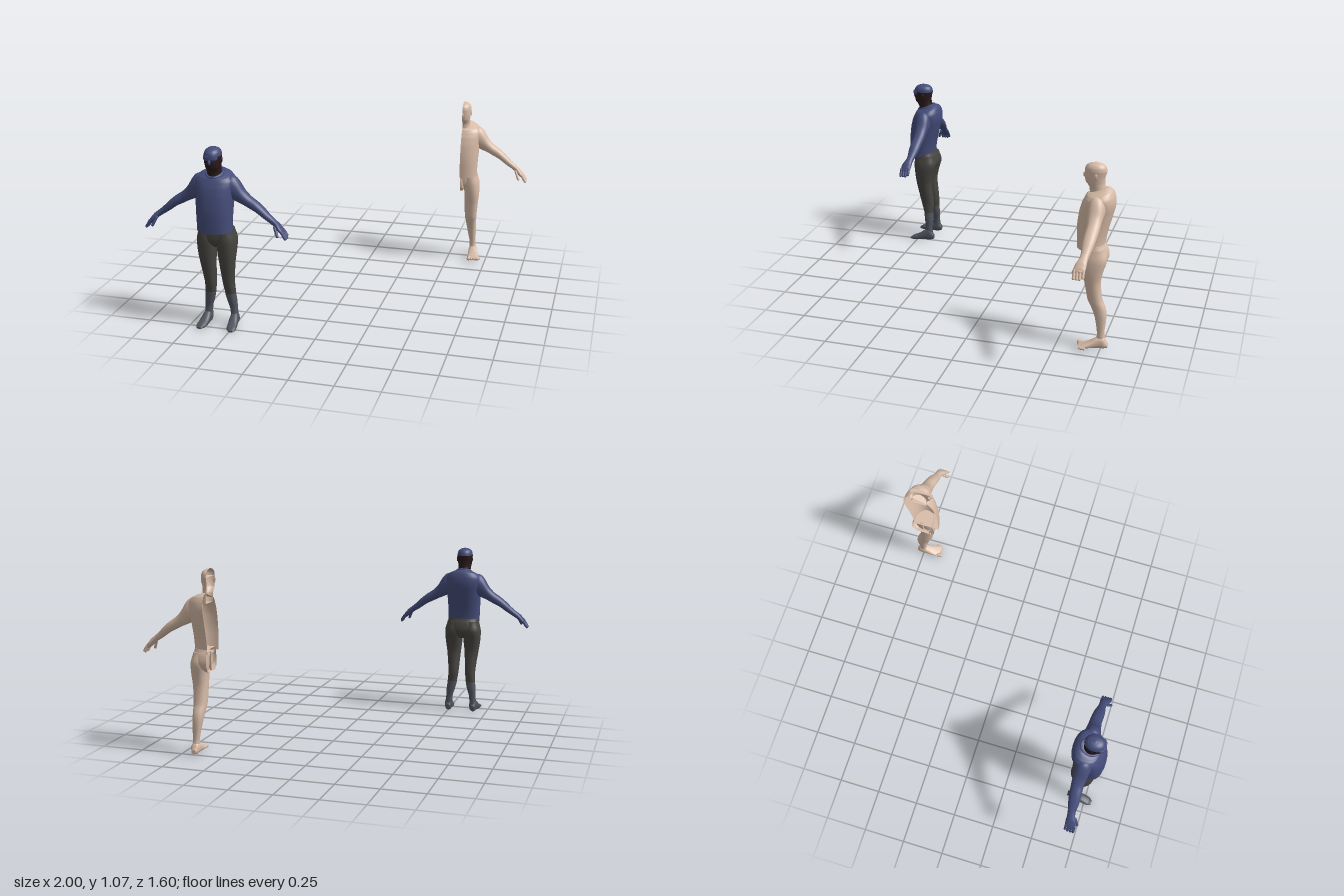
import * as THREE from 'three';

const COLORS = { shirt: 0x454d7a, trousers: 0x474541, boots: 0x50545e, mask: 0x2a1a1b, skin: 0xd8bca8 };
const MATS = {};
for (const k in COLORS) MATS[k] = new THREE.MeshStandardMaterial({ color: COLORS[k], roughness: 0.85, side: THREE.DoubleSide });

// Catmull-Rom interpolation between cross-section rows
function smoothRows(rows, n) {
  const out = [], at = i => rows[Math.min(rows.length - 1, Math.max(0, i))];
  for (let i = 0; i < rows.length - 1; i++) {
    for (let s = 0; s < n; s++) {
      const f = s / n, [a, b, c, d] = [at(i - 1), at(i), at(i + 1), at(i + 2)];
      out.push(b.map((q, k) => k === 0 ? q + (c[0] - q) * f : 0.5 * (2 * q + (c[k] - a[k]) * f
        + (2 * a[k] - 5 * q + 4 * c[k] - d[k]) * f * f + (3 * q - a[k] - 3 * c[k] + d[k]) * f * f * f)));
    }
  }
  out.push(rows[rows.length - 1]);
  return out;
}

// Skin over rows [t, u0, u1, v0, v1, tilt]; axes names t, u, v; half keeps only the +u side
function loft(rows, { axes = 'yxz', half = false, pow = 0.85, steps = 4 } = {}) {
  const N = 28, rings = smoothRows(rows.map(r => [...r, 0].slice(0, 6)), steps);
  const first = rings[0], last = rings[rings.length - 1];
  const list = [[first, 0], [first, 1], ...rings.map(r => [r, 1]), [last, 1], [last, 0]];
  const pos = [], idx = [], M = half ? N + 1 : N, sp = x => Math.sign(x) * Math.abs(x) ** pow;
  for (const [[t, u0, u1, v0, v1, tilt], k] of list) {
    for (let i = 0; i < M; i++) {
      const a = half ? -Math.PI / 2 + Math.PI * i / N : 2 * Math.PI * i / N;
      const c = sp(Math.cos(a)) * k, s = sp(Math.sin(a)) * k;
      const p = { [axes[0]]: t - tilt * s, [axes[1]]: (u0 + u1) / 2 + c * (u1 - u0) / 2, [axes[2]]: (v0 + v1) / 2 + s * (v1 - v0) / 2 };
      pos.push(p.x, p.y, p.z);
    }
  }
  const flip = axes !== 'yxz';
  for (let j = 0; j < list.length - 1; j++) {
    if (j === 1 || j === list.length - 3) continue; // doubled rings keep the end edges sharp
    for (let i = 0; i < N; i++) {
      const a = j * M + i, b = j * M + (i + 1) % M, c = a + M, d = b + M;
      flip ? idx.push(a, b, c, b, d, c) : idx.push(a, c, b, b, c, d);
    }
  }
  const g = new THREE.BufferGeometry();
  g.setAttribute('position', new THREE.Float32BufferAttribute(pos, 3));
  g.setIndex(idx);
  g.computeVertexNormals();
  return g;
}

function add(group, name, geo, mat) {
  const m = new THREE.Mesh(geo, MATS[mat]);
  m.name = name;
  group.add(m);
  return m;
}

// Round-ended finger between two points
function finger(group, name, a, b, r, mat) {
  const A = new THREE.Vector3(...a), B = new THREE.Vector3(...b), d = B.clone().sub(A);
  const m = add(group, name, new THREE.CapsuleGeometry(r, d.length(), 4, 10), mat);
  m.position.copy(A).addScaledVector(d, 0.5);
  m.quaternion.setFromUnitVectors(new THREE.Vector3(0, 1, 0), d.normalize());
}

const sym = rows => rows.map(([y, w, b, f, tilt = 0]) => [y, -w, w, b, f, tilt]);

const TORSO = sym([[0.593, 0.1, -0.05, 0.104], [0.65, 0.101, -0.055, 0.106], [0.72, 0.104, -0.07, 0.106],
  [0.8, 0.109, -0.09, 0.096], [0.85, 0.114, -0.1, 0.082], [0.885, 0.112, -0.097, 0.068, 0.006],
  [0.908, 0.092, -0.086, 0.06, 0.014], [0.918, 0.066, -0.07, 0.055, 0.018], [0.922, 0.044, -0.055, 0.05, 0.02]]);
const PELVIS = sym([[0.492, 0.03, -0.05, 0.035], [0.52, 0.085, -0.067, 0.06], [0.55, 0.108, -0.074, 0.067],
  [0.59, 0.101, -0.066, 0.067], [0.62, 0.095, -0.052, 0.064]]);
const FACE = sym([[0.88, 0.041, -0.052, 0.045], [0.93, 0.039, -0.042, 0.048], [0.95, 0.04, -0.037, 0.06],
  [0.962, 0.042, -0.036, 0.07], [0.99, 0.046, -0.037, 0.075], [1.025, 0.048, -0.045, 0.076]]);
const CROWN = sym([[1.025, 0.048, -0.045, 0.076], [1.045, 0.045, -0.041, 0.071], [1.059, 0.036, -0.03, 0.058],
  [1.067, 0.022, -0.012, 0.04], [1.071, 0.004, 0.01, 0.018]]);
const ARM = [[0.06, 0.78, 0.9, -0.06, 0.04], [0.1, 0.768, 0.908, -0.06, 0.037], [0.13, 0.755, 0.886, -0.056, 0.031],
  [0.165, 0.74, 0.83, -0.052, 0.025], [0.2, 0.722, 0.793, -0.049, 0.022], [0.24, 0.702, 0.766, -0.045, 0.024],
  [0.28, 0.674, 0.733, -0.038, 0.024], [0.32, 0.649, 0.695, -0.027, 0.02], [0.345, 0.632, 0.674, -0.023, 0.024],
  [0.37, 0.61, 0.654, -0.023, 0.038], [0.39, 0.597, 0.63, -0.02, 0.04], [0.4, 0.597, 0.615, -0.014, 0.034]];
const UPPER_LEG = [[0.2, 0.03, 0.09, -0.05, 0.01], [0.25, 0.024, 0.087, -0.053, 0.024], [0.3, 0.02, 0.09, -0.05, 0.036],
  [0.4, 0.013, 0.102, -0.041, 0.055], [0.47, 0.005, 0.112, -0.054, 0.064], [0.54, 0.001, 0.114, -0.073, 0.069],
  [0.6, 0.004, 0.1, -0.058, 0.064]];
const LOWER_LEG = [[0.04, 0.058, 0.101, -0.052, 0.005], [0.1, 0.055, 0.097, -0.048, -0.002], [0.15, 0.041, 0.095, -0.051, 0.004],
  [0.2, 0.03, 0.09, -0.05, 0.01]];
const BOOT = [[-0.058, 0.067, 0.096, 0.012, 0.045], [-0.035, 0.058, 0.103, 0.004, 0.085], [0, 0.057, 0.108, 0.004, 0.075],
  [0.04, 0.058, 0.115, 0.003, 0.046], [0.08, 0.065, 0.118, 0.003, 0.03], [0.1, 0.08, 0.11, 0.006, 0.016]];
const BARE_LEG = [[0.04, 0.06, 0.102, -0.082, -0.028], [0.1, 0.06, 0.098, -0.075, -0.035], [0.2, 0.042, 0.099, -0.082, -0.018],
  [0.25, 0.034, 0.099, -0.076, 0.002], [0.3, 0.028, 0.103, -0.055, 0.026], [0.4, 0.025, 0.111, -0.043, 0.045],
  [0.47, 0.022, 0.117, -0.055, 0.06], [0.54, 0.012, 0.114, -0.073, 0.067], [0.6, 0.008, 0.1, -0.058, 0.064]];
const BARE_FOOT = [[-0.095, 0.066, 0.094, 0.02, 0.045], [-0.075, 0.058, 0.104, 0.015, 0.08], [-0.04, 0.057, 0.11, 0.015, 0.08],
  [0, 0.058, 0.125, 0.015, 0.055], [0.04, 0.06, 0.14, 0.015, 0.037], [0.06, 0.064, 0.142, 0.016, 0.03]];

function buildArm(mat) {
  const g = new THREE.Group();
  g.name = 'arm';
  add(g, 'armAndPalm', loft(ARM, { axes: 'xyz', pow: 0.95 }), mat);
  for (let i = 0; i < 4; i++) {
    const z = -0.013 + i * 0.016, tip = i === 0 ? 0.008 : 0;
    finger(g, 'finger', [0.39, 0.615, z], [0.412 - tip / 2, 0.578 + tip, z], 0.008, mat);
  }
  finger(g, 'thumb', [0.35, 0.637, 0.028], [0.37, 0.593, 0.046], 0.008, mat);
  return g;
}

// Nose and ears shared by both heads
function buildFeatures(group, noseMat, earMat, sides) {
  const nose = add(group, 'nose', new THREE.SphereGeometry(0.01, 12, 8), noseMat);
  nose.scale.set(0.9, 1.6, 1.1);
  nose.position.set(0, 0.997, 0.074);
  for (const s of sides) {
    const ear = add(group, 'ear', new THREE.SphereGeometry(0.012, 12, 8), earMat);
    ear.scale.set(0.4, 1.4, 0.9);
    ear.position.set(s * 0.047, 1.0, 0.008);
  }
}

function clothedFigure() {
  const g = new THREE.Group();
  g.name = 'clothedFigure';
  add(g, 'shirt', loft(TORSO), 'shirt');
  add(g, 'trouserSeat', loft(PELVIS), 'trousers');
  add(g, 'maskedFaceAndNeck', loft(FACE, { pow: 0.95 }), 'mask');
  add(g, 'cap', loft(CROWN, { pow: 0.95 }), 'shirt');
  buildFeatures(g, 'shirt', 'mask', [-1, 1]);
  // Eye band across the brow
  add(g, 'eyeBand', loft(sym([[1.006, 0.036, 0.03, 0.078], [1.014, 0.041, 0.025, 0.081], [1.03, 0.041, 0.025, 0.08]])), 'shirt');
  // Shirt collar, higher at the back
  const collar = add(g, 'collar', new THREE.TorusGeometry(0.048, 0.007, 8, 32), 'shirt');
  collar.rotation.x = Math.PI / 2 + 0.34;
  collar.scale.set(0.95, 1.15, 1);
  collar.position.set(0, 0.922, -0.002);
  for (const s of [1, -1]) {
    const side = new THREE.Group();
    side.name = s > 0 ? 'leftLimbs' : 'rightLimbs';
    side.scale.x = s;
    side.add(buildArm('shirt'));
    add(side, 'trouserLeg', loft(UPPER_LEG), 'trousers');
    add(side, 'bootShaft', loft(LOWER_LEG), 'boots');
    add(side, 'bootFoot', loft(BOOT, { axes: 'zxy' }), 'boots');
    g.add(side);
  }
  return g;
}

// Open half body, cut along its middle plane
function halfFigure() {
  const g = new THREE.Group();
  g.name = 'halfFigure';
  add(g, 'halfTorso', loft(TORSO, { half: true }), 'skin');
  add(g, 'halfPelvis', loft(PELVIS, { half: true }), 'skin');
  add(g, 'halfFace', loft(FACE, { half: true, pow: 0.95 }), 'skin');
  add(g, 'halfCrown', loft(CROWN, { half: true, pow: 0.95 }), 'skin');
  add(g, 'groin', loft(sym([[0.488, 0.016, 0.01, 0.05], [0.51, 0.026, 0, 0.07], [0.56, 0.026, 0, 0.072], [0.6, 0.02, 0, 0.06]]), { half: true }), 'skin');
  const nose = add(g, 'halfNose', new THREE.SphereGeometry(0.01, 12, 8, Math.PI / 2, Math.PI), 'skin');
  nose.scale.set(0.9, 1.6, 1.1);
  nose.position.set(0, 0.997, 0.074);
  const ear = add(g, 'ear', new THREE.SphereGeometry(0.012, 12, 8), 'skin');
  ear.scale.set(0.4, 1.4, 0.9);
  ear.position.set(0.047, 1.0, 0.008);
  g.add(buildArm('skin'));
  add(g, 'leg', loft(BARE_LEG), 'skin');
  add(g, 'foot', loft(BARE_FOOT, { axes: 'zxy' }), 'skin');
  for (let i = 0; i < 5; i++) {
    const r = i ? 0.0085 : 0.012, z = 0.066 - i * 0.005, x = 0.073 + i * 0.0155 + (i ? 0.002 : 0);
    finger(g, 'toe', [x, 0.015 + r, z - 0.02], [x, 0.015 + r, z], r, 'skin');
  }
  return g;
}

export function createModel() {
  const model = new THREE.Group();
  model.name = 'figures';
  const full = clothedFigure(), half = halfFigure();
  full.position.set(-0.583, 0, 0.695);
  half.position.set(0.576, 0, -0.695);
  model.add(full, half);
  return model;
}
